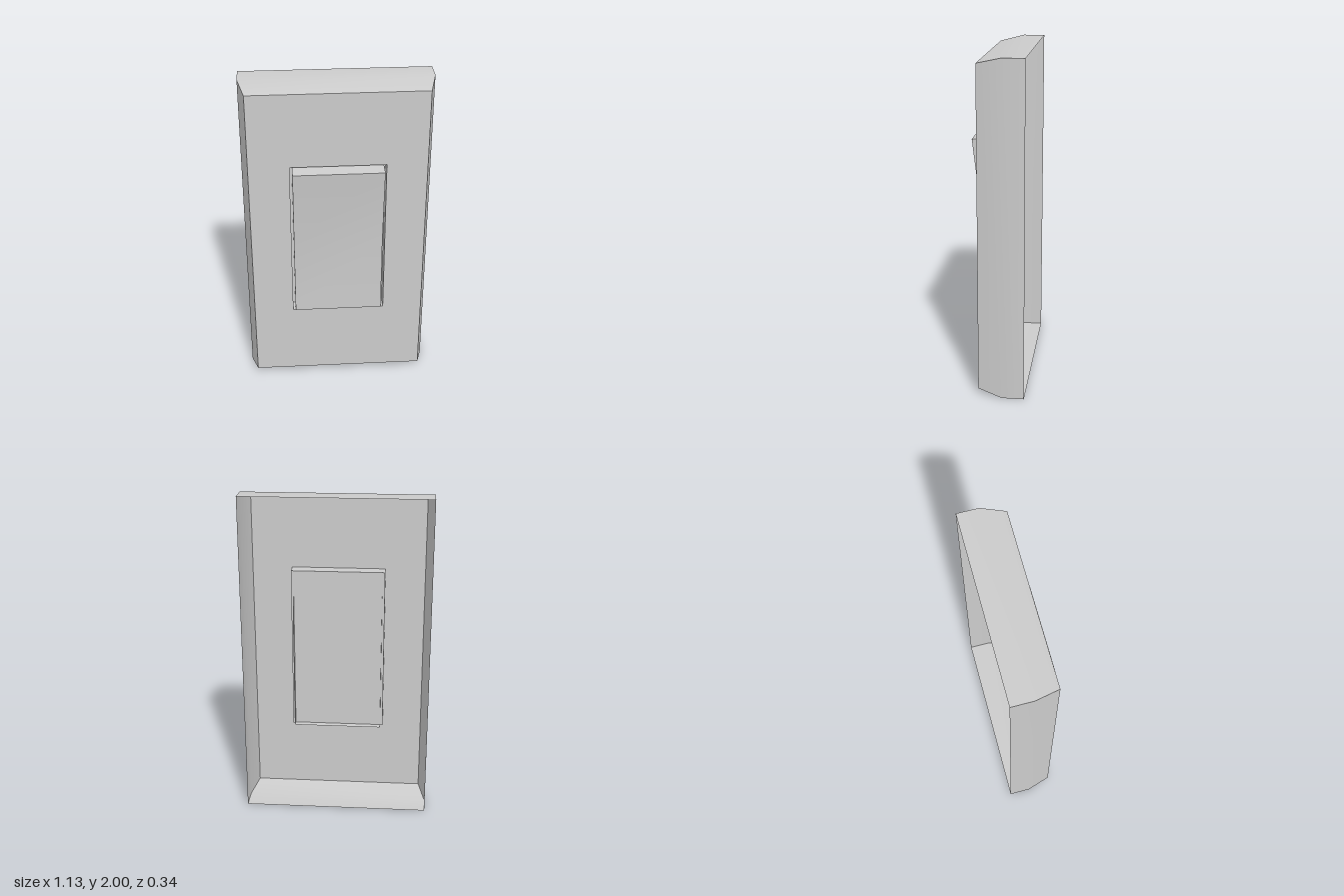
import * as THREE from 'three';
import { toCreasedNormals } from 'three/addons/utils/BufferGeometryUtils.js';

const material = new THREE.MeshStandardMaterial({ color: 0xcccccc, side: THREE.DoubleSide });

// Skin a surface over rows of four points each; optionally close the rows and cap the ends.
function loft(name, rows, { closed = false, capFirst = false, capLast = false }) {
  const index = [];
  const quad = (a, b, c, d) => index.push(a, b, c, a, c, d);
  for (let r = 0; r < rows.length - 1; r++) {
    for (let j = 0; j < (closed ? 4 : 3); j++) {
      const k = (j + 1) % 4;
      quad(r * 4 + j, r * 4 + k, r * 4 + 4 + k, r * 4 + 4 + j);
    }
  }
  const last = (rows.length - 1) * 4;
  if (capFirst) quad(3, 2, 1, 0);
  if (capLast) quad(last, last + 1, last + 2, last + 3);

  const geometry = new THREE.BufferGeometry();
  geometry.setAttribute('position', new THREE.Float32BufferAttribute(rows.flat(2), 3));
  geometry.setIndex(index);
  const mesh = new THREE.Mesh(toCreasedNormals(geometry, Math.PI / 6), material);
  mesh.name = name;
  return mesh;
}

// Upright rectangle, counter-clockwise from the front
const rectangle = (w, y0, y1, z) => [[-w, y0, z], [w, y0, z], [w, y1, z], [-w, y1, z]];

// U-shaped section of the rocker, open at the back
const section = (w, yFront, zFront, yBack, zBack) => [
  [-w, yBack, zBack], [-w, yFront, zFront], [w, yFront, zFront], [w, yBack, zBack],
];

export function createModel() {
  const model = new THREE.Group();
  model.name = 'wallSwitch';

  // Hollow cover plate: side walls, bevel, front face, then the recessed pocket
  model.add(loft('coverPlate', [
    rectangle(0.565, 0, 2, -0.171),
    rectangle(0.565, 0, 2, -0.04),
    rectangle(0.526, 0.035, 1.965, 0.105),
    rectangle(0.284, 0.496, 1.509, 0.105),
    rectangle(0.284, 0.496, 1.509, 0.025),
  ], { closed: true, capLast: true }));

  // Rocker bent at mid-height, upper half tipped forward
  model.add(loft('rocker', [
    section(0.269, 0.5, 0.115, 0.5, -0.015),
    section(0.269, 1.0, 0.113, 1.0, -0.03),
    section(0.269, 1.49, 0.171, 1.505, 0.036),
  ], { capFirst: true, capLast: true }));

  return model;
}
